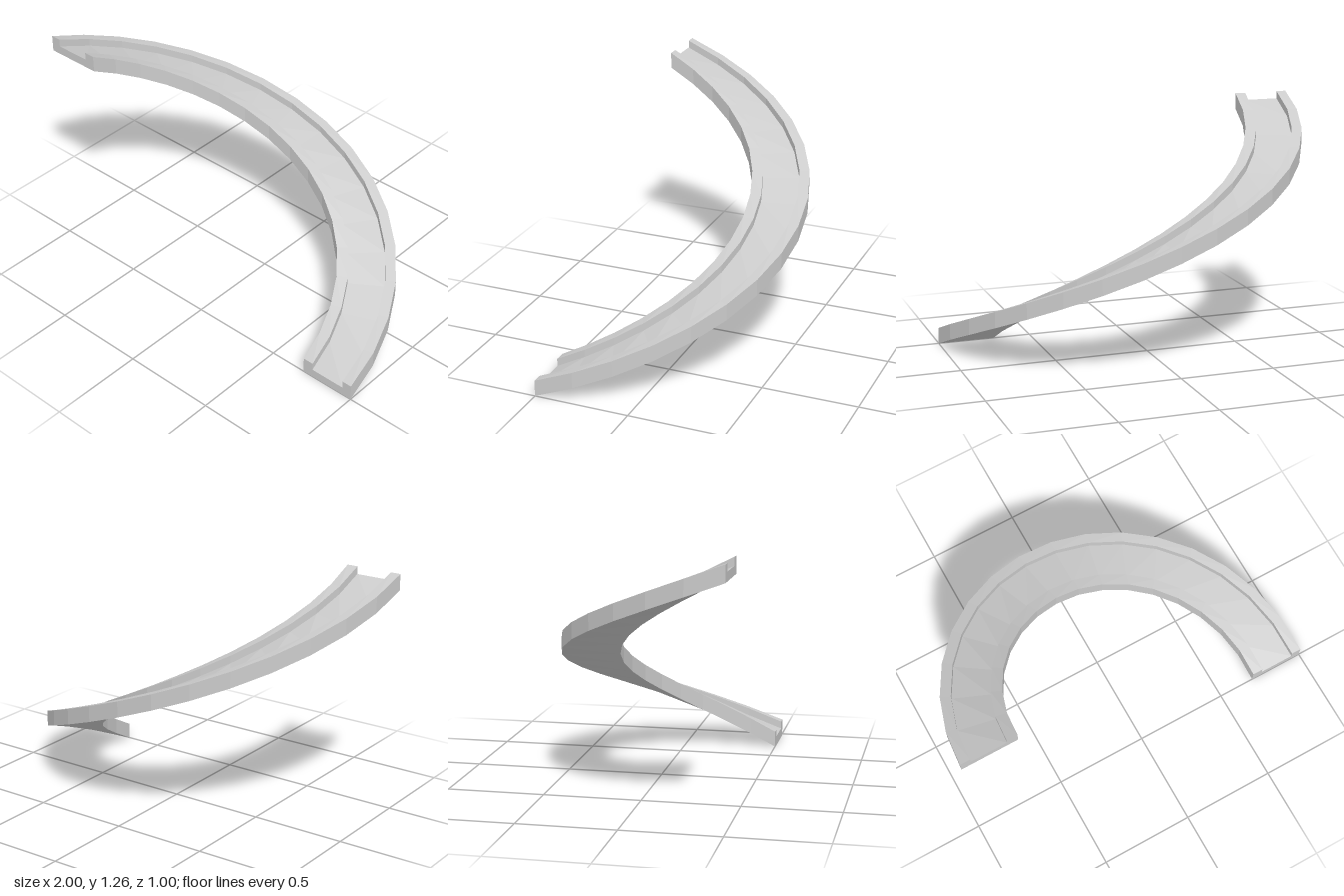
import * as THREE from 'three';

const SEGMENTS = 16;
const RISE = 1.175;

// U-shaped channel section as (radius, height), counter-clockwise
const SECTION = [
  [0.7, 0], [1, 0], [1, 0.085], [0.947, 0.085],
  [0.947, 0.045], [0.757, 0.045], [0.757, 0.085], [0.7, 0.085],
].map(([r, y]) => new THREE.Vector2(r, y));

// Sweep the section along half a turn of a helix
function helicalChannel() {
  const positions = [];
  const point = (i, j) => {
    const t = i / SEGMENTS;
    const p = SECTION[j % SECTION.length];
    return [p.x * Math.cos(Math.PI * t), p.y + RISE * t, 0.5 - p.x * Math.sin(Math.PI * t)];
  };
  const triangle = (a, b, c) => positions.push(...a, ...b, ...c);

  // Walls, floor and underside
  for (let i = 0; i < SEGMENTS; i++) {
    for (let j = 0; j < SECTION.length; j++) {
      const a = point(i, j), b = point(i, j + 1);
      const c = point(i + 1, j + 1), d = point(i + 1, j);
      triangle(a, c, b);
      triangle(a, d, c);
    }
  }

  // End caps
  for (const [a, b, c] of THREE.ShapeUtils.triangulateShape(SECTION, [])) {
    triangle(point(0, a), point(0, b), point(0, c));
    triangle(point(SEGMENTS, a), point(SEGMENTS, c), point(SEGMENTS, b));
  }

  const geometry = new THREE.BufferGeometry();
  geometry.setAttribute('position', new THREE.Float32BufferAttribute(positions, 3));
  geometry.computeVertexNormals();
  return geometry;
}

export function createModel() {
  const group = new THREE.Group();
  group.name = 'curvedSlide';
  const material = new THREE.MeshStandardMaterial({ color: 0xcccccc, flatShading: true });
  const channel = new THREE.Mesh(helicalChannel(), material);
  channel.name = 'slideChannel';
  group.add(channel);
  return group;
}
